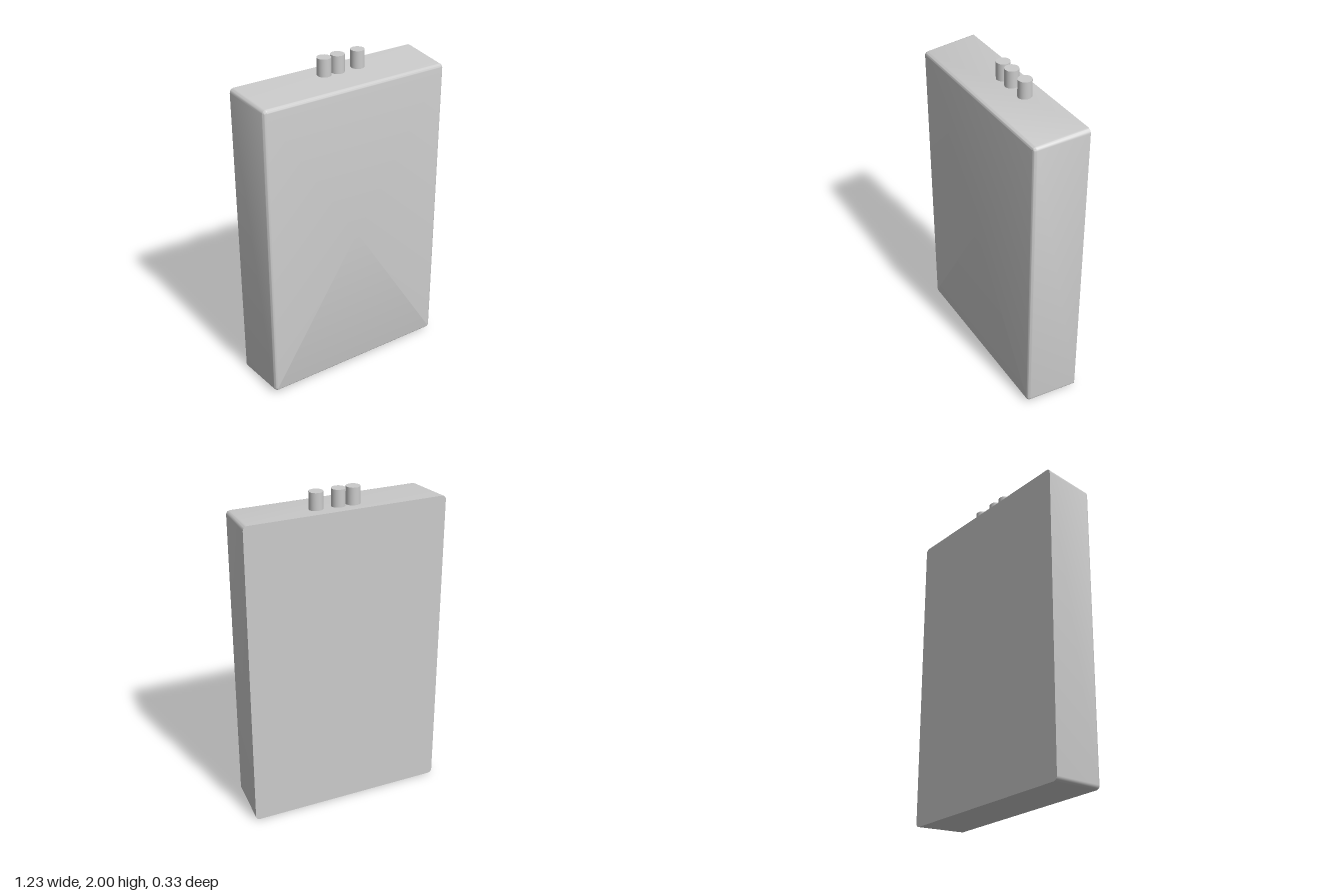
import * as THREE from 'three';
import { toCreasedNormals } from 'three/addons/utils/BufferGeometryUtils.js';

const HALF_W = 0.613, HEIGHT = 1.902, BACK = -0.167, FRONT = 0.165;
const DRAFT = 0.016, FILLET = 0.02, CORNER = 0.026, STEPS = 6;

// Rounded rectangle at depth z, pulled in from the back outline by inset
function ring(inset, radius, z) {
  const points = [];
  const cx = HALF_W - inset - radius, cy = HEIGHT / 2 - inset - radius;
  [[1, 1], [-1, 1], [-1, -1], [1, -1]].forEach(([sx, sy], q) => {
    for (let i = 0; i <= STEPS; i++) {
      const a = (q + i / STEPS) * Math.PI / 2;
      points.push([sx * cx + radius * Math.cos(a), HEIGHT / 2 + sy * cy + radius * Math.sin(a), z]);
    }
  });
  return points;
}

// Tapered case: straight drafted walls, then a rounded front edge
function caseGeometry() {
  const rings = [ring(0, CORNER, BACK)];
  for (let i = 0; i <= STEPS; i++) {
    const a = i / STEPS * Math.PI / 2;
    const cut = FILLET * (1 - Math.cos(a));
    rings.push(ring(DRAFT + cut, CORNER - cut, FRONT - FILLET + FILLET * Math.sin(a)));
  }
  const positions = [];
  const triangle = (a, b, c) => positions.push(...a, ...b, ...c);
  const n = rings[0].length;
  const first = rings[0], last = rings[rings.length - 1];
  for (let j = 0; j < n; j++) {
    const k = (j + 1) % n;
    for (let i = 0; i < rings.length - 1; i++) {
      triangle(rings[i][j], rings[i][k], rings[i + 1][k]);
      triangle(rings[i][j], rings[i + 1][k], rings[i + 1][j]);
    }
    triangle([0, HEIGHT / 2, FRONT], last[j], last[k]);
    triangle([0, HEIGHT / 2, BACK], first[k], first[j]);
  }
  const geometry = new THREE.BufferGeometry();
  geometry.setAttribute('position', new THREE.Float32BufferAttribute(positions, 3));
  return toCreasedNormals(geometry, 0.6);
}

export function createModel() {
  const model = new THREE.Group();
  model.name = 'caseWithPins';
  const material = new THREE.MeshStandardMaterial({ color: 0xcccccc });

  const body = new THREE.Mesh(caseGeometry(), material);
  body.name = 'case';
  model.add(body);

  // Three unevenly spaced round pins on the top wall
  const pinGeometry = new THREE.CylinderGeometry(0.041, 0.041, 0.12, 40);
  [-0.077, 0.013, 0.148].forEach((x, i) => {
    const pin = new THREE.Mesh(pinGeometry, material);
    pin.name = `topPin${i + 1}`;
    pin.position.set(x, 1.94, -0.06);
    model.add(pin);
  });
  return model;
}
